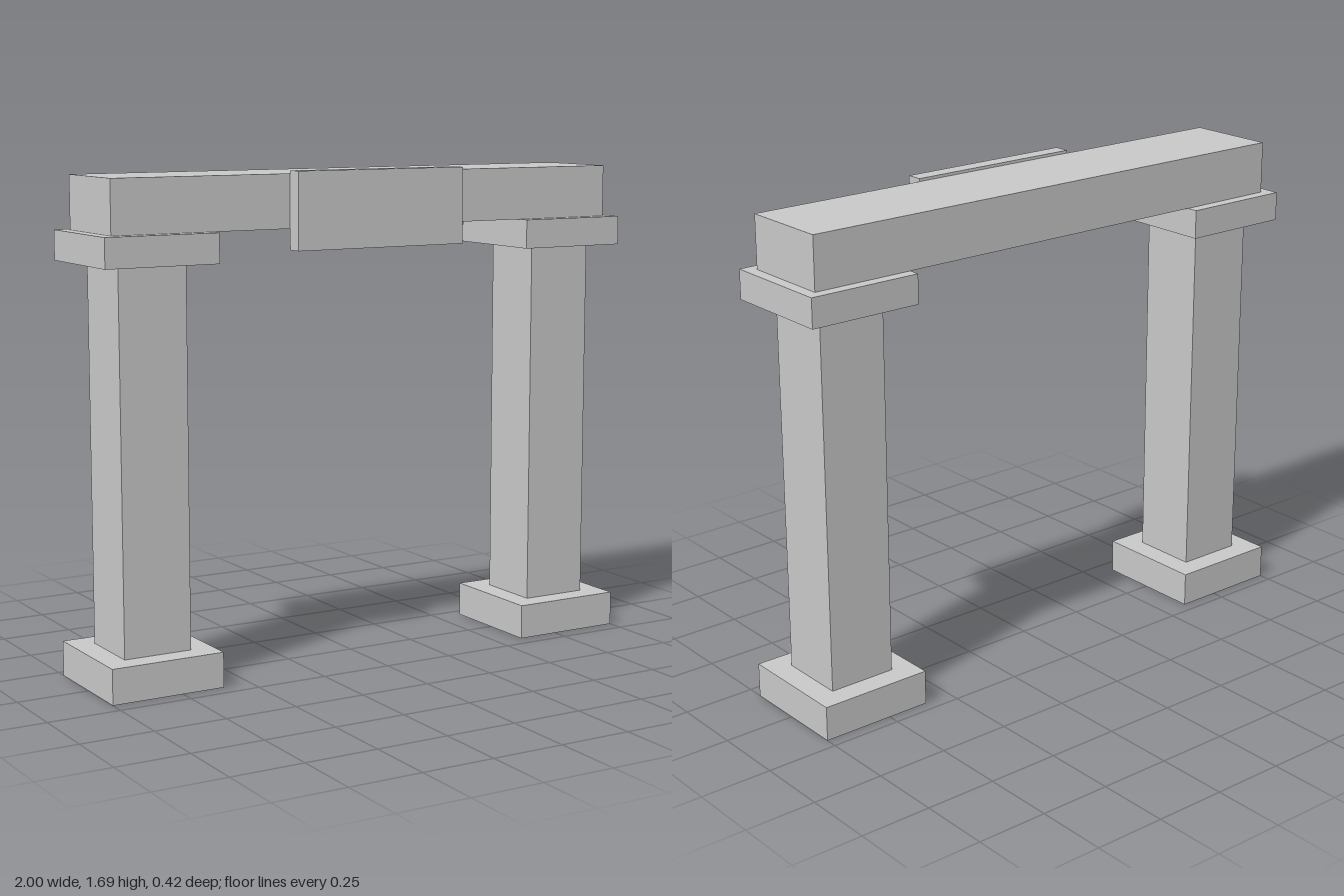
import * as THREE from 'three';

export function createModel() {
  const model = new THREE.Group();
  model.name = 'gateway';
  const stone = new THREE.MeshStandardMaterial({ color: 0xc8c8c8 });
  stone.name = 'light grey stone';

  // Box given by its size, bottom height and centre in x and z
  const block = (name, [w, h, d], x, bottom, z, parent = model) => {
    const mesh = new THREE.Mesh(new THREE.BoxGeometry(w, h, d), stone);
    mesh.name = name;
    mesh.position.set(x, bottom + h / 2, z);
    parent.add(mesh);
  };

  const axisZ = -0.008; // shared centre line of pillars and beam

  // Two pillars: base, shaft and cap
  for (const [side, x] of [['left', 0.8], ['right', -0.8]]) {
    const pillar = new THREE.Group();
    pillar.name = side + 'Pillar';
    pillar.position.set(x, 0, axisZ);
    block('base', [0.4, 0.12, 0.4], 0, 0, 0, pillar);
    block('shaft', [0.24, 1.28, 0.24], 0, 0.12, 0, pillar);
    block('cap', [0.4, 0.1, 0.4], 0, 1.4, 0, pillar);
    model.add(pillar);
  }

  // Beam across the pillars, with the plain sign panel on its front
  block('beam', [1.92, 0.18, 0.32], 0, 1.5, axisZ);
  block('signPanel', [0.64, 0.26, 0.056], 0, 1.43, 0.18);

  return model;
}
